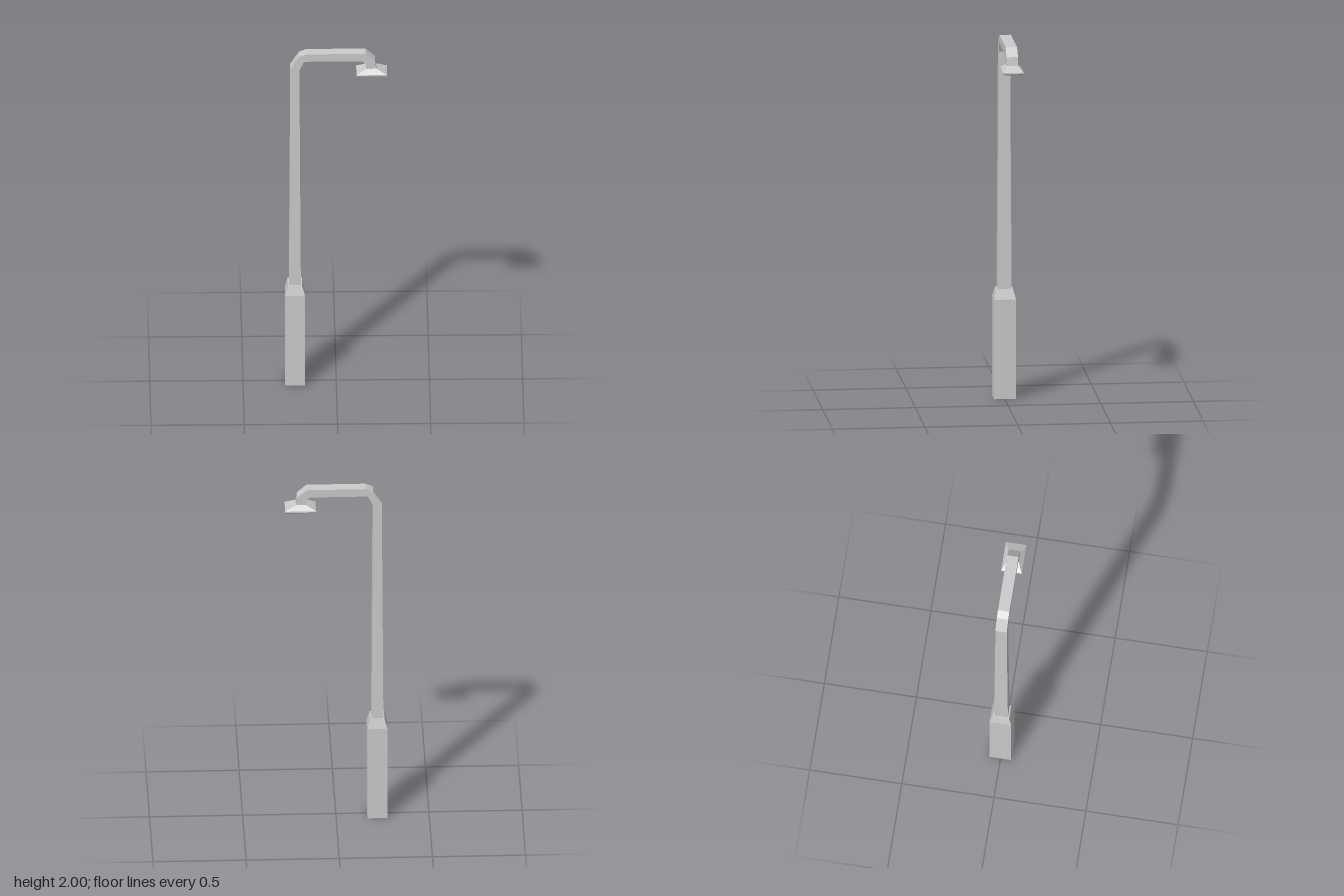
import * as THREE from 'three';

const material = new THREE.MeshStandardMaterial({ color: 0xcccccc, flatShading: true });

// Section: [outerX, outerY, innerX, innerY, zBack, zFront], a rectangle seen edge-on from the front
function loft(name, sections, capStart = true, capEnd = true) {
  const rings = sections.map(([ox, oy, ix, iy, z0, z1]) => [
    [ox, oy, z1], [ix, iy, z1], [ix, iy, z0], [ox, oy, z0],
  ]);
  const pos = [];
  const quad = (a, b, c, d) => pos.push(...a, ...b, ...c, ...a, ...c, ...d);
  for (let s = 0; s < rings.length - 1; s++) {
    const a = rings[s], b = rings[s + 1];
    for (let i = 0; i < 4; i++) {
      const j = (i + 1) % 4;
      quad(a[i], a[j], b[j], b[i]);
    }
  }
  if (capStart) quad(...[...rings[0]].reverse());
  if (capEnd) quad(...rings[rings.length - 1]);
  const geometry = new THREE.BufferGeometry();
  geometry.setAttribute('position', new THREE.Float32BufferAttribute(pos, 3));
  geometry.computeVertexNormals();
  const mesh = new THREE.Mesh(geometry, material);
  mesh.name = name;
  return mesh;
}

// Level section of the given extents
const level = (y, outerX, innerX, z0, z1) => [outerX, y, innerX, y, z0, z1];

export function createModel() {
  const group = new THREE.Group();
  group.name = 'streetLamp';

  // Wide square foot with a bevelled shoulder
  group.add(loft('base', [
    level(0, -0.275, -0.168, -0.06, 0.058),
    level(0.545, -0.275, -0.168, -0.06, 0.058),
    level(0.6, -0.26, -0.184, -0.046, 0.044),
  ]));

  // Slightly tapering pole
  group.add(loft('pole', [
    level(0.595, -0.254, -0.19, -0.039, 0.037),
    level(1.58, -0.248, -0.196, -0.033, 0.031),
    [-0.247, 1.91, -0.198, 1.9, -0.032, 0.03],
  ], true, false));

  // Arm bending over and then down to the lamp
  group.add(loft('arm', [
    [-0.247, 1.91, -0.198, 1.9],
    [-0.2, 1.983, -0.173, 1.953],
    [-0.16, 2, -0.16, 1.955],
    [0.157, 2, 0.142, 1.955],
    [0.208, 1.956, 0.161, 1.933],
    [0.215, 1.91, 0.161, 1.91],
  ].map((s) => [...s, -0.032, 0.03]), false, false));

  // Flared shade with a turned-in rim and a recessed underside
  group.add(loft('lampShade', [
    level(1.91, 0.215, 0.161, -0.032, 0.03),
    level(1.884, 0.273, 0.108, -0.057, 0.055),
    level(1.876, 0.273, 0.108, -0.057, 0.055),
    level(1.868, 0.261, 0.12, -0.047, 0.045),
    level(1.868, 0.252, 0.129, -0.04, 0.038),
    level(1.884, 0.244, 0.137, -0.034, 0.032),
  ], false, true));

  return group;
}
